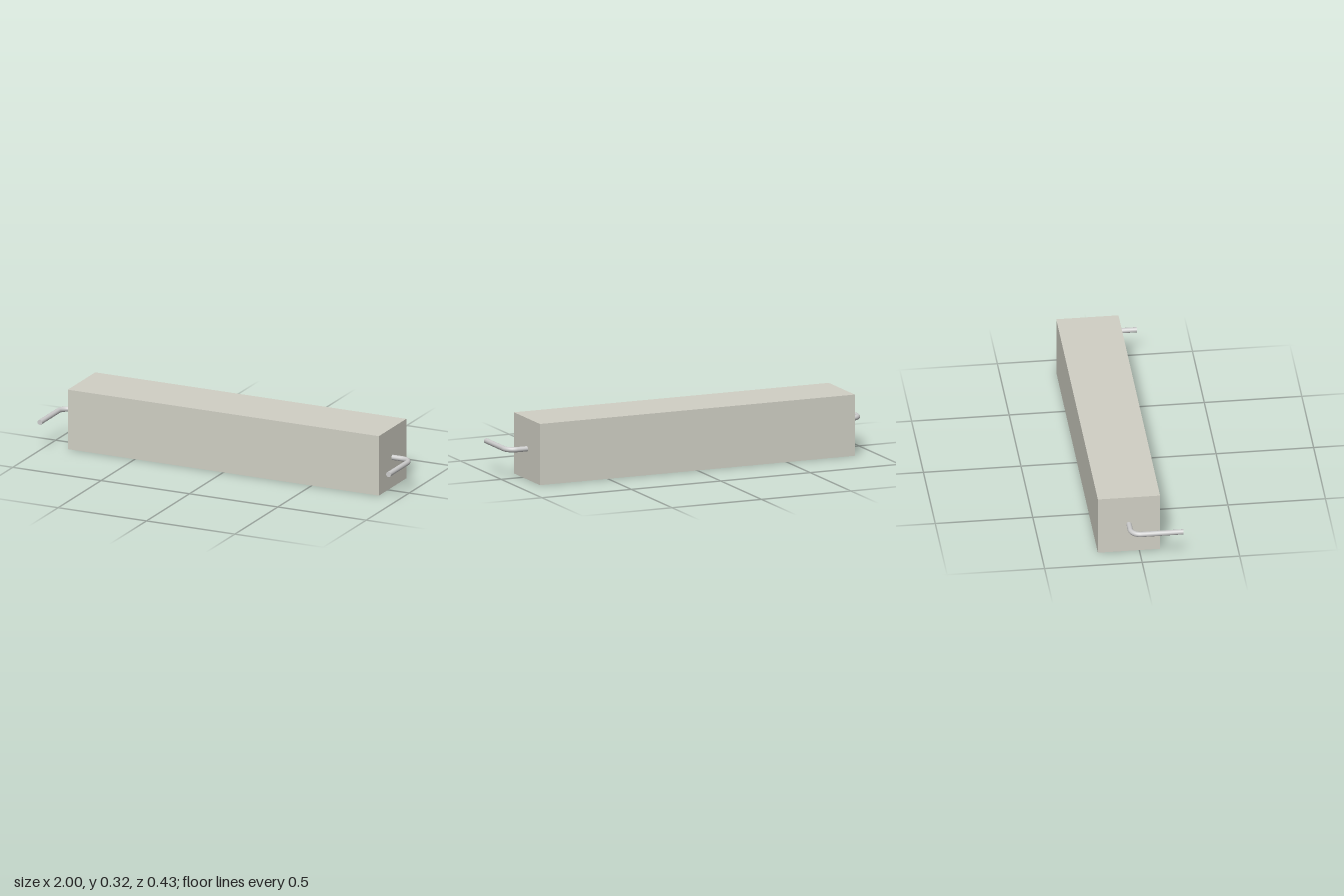
import * as THREE from 'three';

const R = 0.0135;              // lead wire radius
const BEND = 0.052;            // bend radius on the wire's centre line
const AXIS_Y = 0.159, AXIS_Z = -0.053;
const BODY_X = 0.88, LEAD_X = 1 - R, TIP_Z = 0.213;

export function createModel() {
  const model = new THREE.Group();
  const bodyMat = new THREE.MeshStandardMaterial({ color: 0xd0cfc4 });
  const leadMat = new THREE.MeshStandardMaterial({ color: 0xcccccc });

  // Rectangular block
  const body = new THREE.Mesh(new THREE.BoxGeometry(2 * BODY_X, 0.318, 0.319), bodyMat);
  body.name = 'body';
  body.position.set(0, AXIS_Y, AXIS_Z);
  model.add(body);

  // A wire lead: short stub out of the body, quarter bend, long straight leg forward
  function makeLead(name) {
    const lead = new THREE.Group();
    lead.name = name;
    const add = (part, geometry) => {
      const mesh = new THREE.Mesh(geometry, leadMat);
      mesh.name = part;
      lead.add(mesh);
      return mesh;
    };
    const start = BODY_X - 0.005, bendX = LEAD_X - BEND, bendZ = AXIS_Z + BEND;

    const stub = add('leadStub', new THREE.CylinderGeometry(R, R, bendX - start, 24));
    stub.rotation.z = Math.PI / 2;
    stub.position.set((start + bendX) / 2, AXIS_Y, AXIS_Z);

    const bend = add('leadBend', new THREE.TorusGeometry(BEND, R, 24, 10, Math.PI / 2));
    bend.rotation.x = -Math.PI / 2;
    bend.position.set(bendX, AXIS_Y, bendZ);

    const leg = add('leadLeg', new THREE.CylinderGeometry(R, R, TIP_Z - bendZ, 24));
    leg.rotation.x = Math.PI / 2;
    leg.position.set(LEAD_X, AXIS_Y, (bendZ + TIP_Z) / 2);
    return lead;
  }

  // Mirrored pair
  const left = makeLead('leftLead');
  const right = makeLead('rightLead');
  right.scale.x = -1;
  model.add(left, right);
  return model;
}
